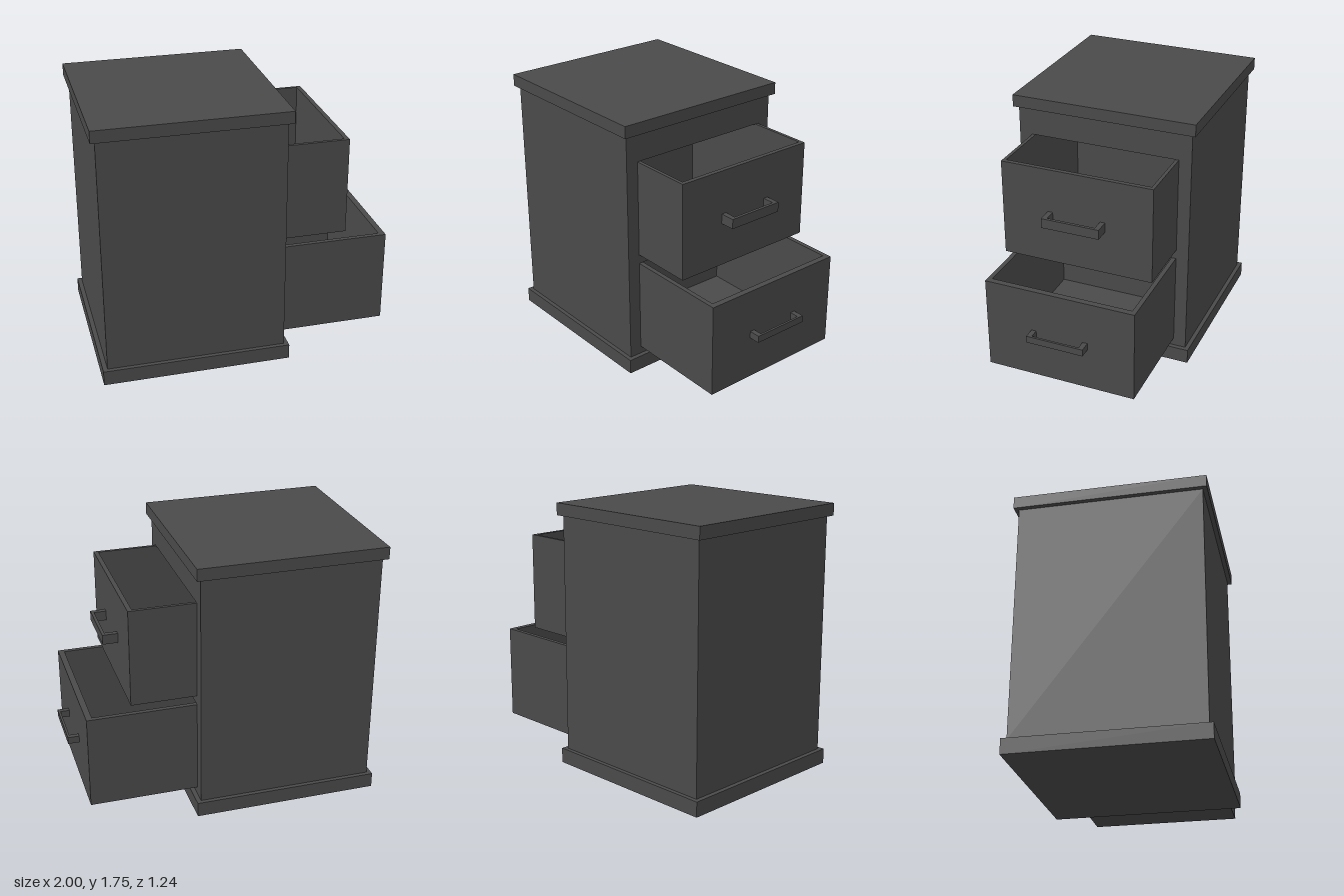
import * as THREE from 'three';

const material = new THREE.MeshStandardMaterial({ color: 0x4a4a4a });

function add(parent, name, geometry) {
  const mesh = new THREE.Mesh(geometry, material);
  mesh.name = name;
  parent.add(mesh);
  return mesh;
}

// Box given by its minimum and maximum corners
function box(parent, name, [x0, y0, z0], [x1, y1, z1]) {
  const mesh = add(parent, name, new THREE.BoxGeometry(x1 - x0, y1 - y0, z1 - z0));
  mesh.position.set((x0 + x1) / 2, (y0 + y1) / 2, (z0 + z1) / 2);
}

function rectangle(path, x0, y0, x1, y1) {
  return path.moveTo(x0, y0).lineTo(x1, y0).lineTo(x1, y1).lineTo(x0, y1).closePath();
}

// U-shaped pull, drawn in plan and extruded upwards
function pull(parent, x0, x1, barInner, y0, y1) {
  const outer = 0.193, inner = 0.16;
  const shape = new THREE.Shape([
    [x0, -outer], [x1, -outer], [x1, outer], [x0, outer],
    [x0, inner], [barInner, inner], [barInner, -inner], [x0, -inner],
  ].map(([x, z]) => new THREE.Vector2(x, z)));
  const geometry = new THREE.ExtrudeGeometry(shape, { depth: y1 - y0, bevelEnabled: false });
  geometry.rotateX(-Math.PI / 2).translate(0, y0, 0);
  add(parent, 'handle', geometry);
}

const HALF = 0.506; // half width of a drawer
const FACE = 0.21;  // front face of the carcass
const BACK = -0.92; // inner face of the carcass back

const drawers = [
  { name: 'upperDrawer', y0: 0.84, y1: 1.485, front: 0.64, wall: 0.022, panel: 0.03,
    handle: [0.74, 0.72, 1.13, 1.195] },
  { name: 'lowerDrawer', y0: 0.15, y1: 0.777, front: 0.925, wall: 0.03, panel: 0.04,
    handle: [1.0, 0.985, 0.44, 0.487] },
];

// Open tray: floor, two sides, back and front panel
function makeDrawer({ name, y0, y1, front, wall, panel, handle }) {
  const group = new THREE.Group();
  group.name = name;
  const back = front - 1.1;
  const inside = HALF - wall;
  box(group, 'frontPanel', [front - panel, y0, -HALF], [front, y1, HALF]);
  box(group, 'backPanel', [back, y0, -HALF], [back + wall, y1, HALF]);
  box(group, 'floor', [back + wall, y0, -inside], [front - panel, y0 + wall, inside]);
  box(group, 'leftWall', [back + wall, y0, -HALF], [front - panel, y1, -inside]);
  box(group, 'rightWall', [back + wall, y0, inside], [front - panel, y1, HALF]);
  pull(group, front, ...handle);
  return group;
}

export function createModel() {
  const model = new THREE.Group();
  model.name = 'drawerCabinet';

  // Top and base slabs
  box(model, 'topSlab', [-1, 1.675, -0.62], [0.24, 1.755, 0.62]);
  box(model, 'baseSlab', [-1, 0, -0.62], [0.24, 0.1, 0.62]);

  // Carcass with a bay for each drawer
  const section = rectangle(new THREE.Shape(), -0.592, 0.1, 0.592, 1.675);
  const gap = 0.002;
  for (const d of drawers) {
    section.holes.push(rectangle(new THREE.Path(), -HALF - gap, d.y0 - gap, HALF + gap, d.y1 + gap));
  }
  const carcass = new THREE.ExtrudeGeometry(section, { depth: FACE - BACK, bevelEnabled: false });
  carcass.rotateY(Math.PI / 2).translate(BACK, 0, 0);
  add(model, 'carcass', carcass);
  box(model, 'carcassBack', [-0.97, 0.1, -0.592], [BACK, 1.675, 0.592]);

  for (const d of drawers) model.add(makeDrawer(d));
  return model;
}
